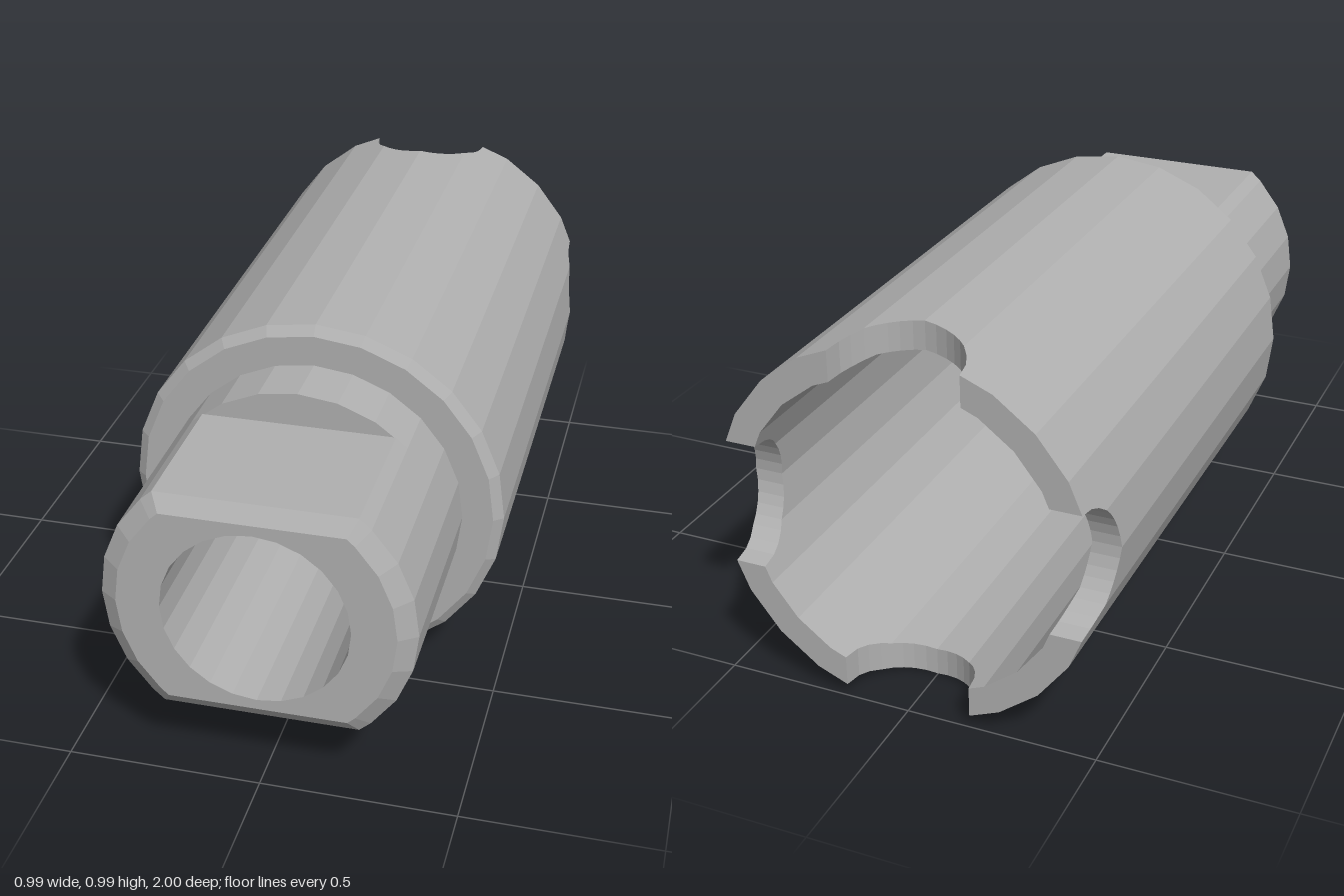
import * as THREE from 'three';

const SIDES = 24;
const R = 0.495, BORE = 0.42, NECK = 0.39, HOLE = 0.235; // radii
const CROWN = -0.8, NOTCH = 0.168;                       // start of notched end, notch radius
const rad = THREE.MathUtils.degToRad;

const steel = new THREE.MeshStandardMaterial({ color: 0xb0b0b0, flatShading: true });
steel.name = 'steel grey';

// Lathe around the z axis from [radius, z] pairs
function turned(name, profile) {
  const g = new THREE.LatheGeometry(profile.map(([r, z]) => new THREE.Vector2(r, z)), SIDES);
  g.rotateX(Math.PI / 2);
  return part(name, g);
}

function part(name, geometry) {
  const m = new THREE.Mesh(geometry, steel);
  m.name = name;
  return m;
}

// Strip of quads between two closed loops of [x, y, z]
function band(a, b) {
  const pos = [];
  a.forEach((p, i) => {
    const j = (i + 1) % a.length;
    pos.push(...p, ...a[j], ...b[j], ...p, ...b[j], ...b[i]);
  });
  const g = new THREE.BufferGeometry();
  g.setAttribute('position', new THREE.Float32BufferAttribute(pos, 3));
  g.computeVertexNormals();
  return g;
}

// Height of the top of a regular polygon at horizontal offset d
function polygonTop(r, d) {
  const step = 2 * Math.PI / SIDES;
  const k = Math.floor(Math.asin(Math.abs(d) / r) / step + 1e-6);
  const [x0, y0] = [r * Math.sin(k * step), r * Math.cos(k * step)];
  const [x1, y1] = [r * Math.sin((k + 1) * step), r * Math.cos((k + 1) * step)];
  return y0 + (y1 - y0) * (Math.abs(d) - x0) / (x1 - x0);
}

// Clockwise loop of the notched end; z comes from a rule on the notch offset
function crownLoop(r, zAt) {
  const half = [0.03, 0.06, 0.085, R * Math.sin(rad(15)), BORE * Math.sin(rad(15)), 0.148, 0.161, NOTCH]
    .sort((a, b) => a - b);
  const offsets = [...half.slice().reverse().map(d => -d), 0, ...half];
  const quarter = offsets.map(d => [d, polygonTop(r, d), zAt(d)]);
  for (const a of [30, 45, 60]) {
    quarter.push([r * Math.sin(rad(a)), r * Math.cos(rad(a)), zAt(NOTCH)]);
  }
  const loop = [];
  for (let q = 0; q < 4; q++) {
    const c = Math.round(Math.cos(q * Math.PI / 2)), s = Math.round(Math.sin(q * Math.PI / 2));
    for (const [x, y, z] of quarter) loop.push([x * c + y * s, y * c - x * s, z]);
  }
  return loop;
}

// Counter-clockwise circle with flats cut at y = +-flat
function flattedLoop(r, flat, z) {
  const end = Math.asin(flat / r);
  const angles = [-end, ...[-45, -30, -15, 0, 15, 30, 45].map(rad), end];
  const side = angles.map(a => [r * Math.cos(a), r * Math.sin(a), z]);
  return [...side, ...side.map(([x, y]) => [-x, -y, z])];
}

export function createModel() {
  const model = new THREE.Group();
  model.name = 'socketSleeve';

  // Turned outer and inner walls
  model.add(turned('outerBody', [
    [R, CROWN], [R, 0.42], [0.47, 0.44], [NECK, 0.44], [NECK, 0.595], [0.28, 0.595]]));
  model.add(turned('innerBore', [
    [HOLE, 1], [HOLE, 0.35], [BORE, 0.35], [BORE, CROWN]]));

  // Back end with four round notches
  const edge = d => -1 + Math.sqrt(Math.max(0, NOTCH * NOTCH - d * d));
  const outer = crownLoop(R, edge), inner = crownLoop(BORE, edge);
  const crown = new THREE.Group();
  crown.name = 'notchedEnd';
  crown.add(
    part('crownOuterWall', band(crownLoop(R, () => CROWN), outer)),
    part('crownInnerWall', band(inner, crownLoop(BORE, () => CROWN))),
    part('crownRim', band(outer, inner)));
  model.add(crown);

  // Front end with two flats and a chamfered edge
  const base = flattedLoop(NECK, 0.302, 0.595);
  const shoulder = flattedLoop(NECK, 0.302, 0.97);
  const tip = flattedLoop(0.345, 0.262, 1);
  const face = new THREE.Shape(tip.map(([x, y]) => new THREE.Vector2(x, y)));
  const hole = [];
  for (let i = 0; i < SIDES; i++) {
    const a = -i * 2 * Math.PI / SIDES;
    hole.push(new THREE.Vector2(HOLE * Math.cos(a), HOLE * Math.sin(a)));
  }
  face.holes.push(new THREE.Path(hole));
  const head = new THREE.Group();
  head.name = 'flattedHead';
  head.add(
    part('headSides', band(base, shoulder)),
    part('headChamfer', band(shoulder, tip)),
    part('headFace', new THREE.ShapeGeometry(face).translate(0, 0, 1)));
  model.add(head);

  model.position.y = 0.497;
  return model;
}
